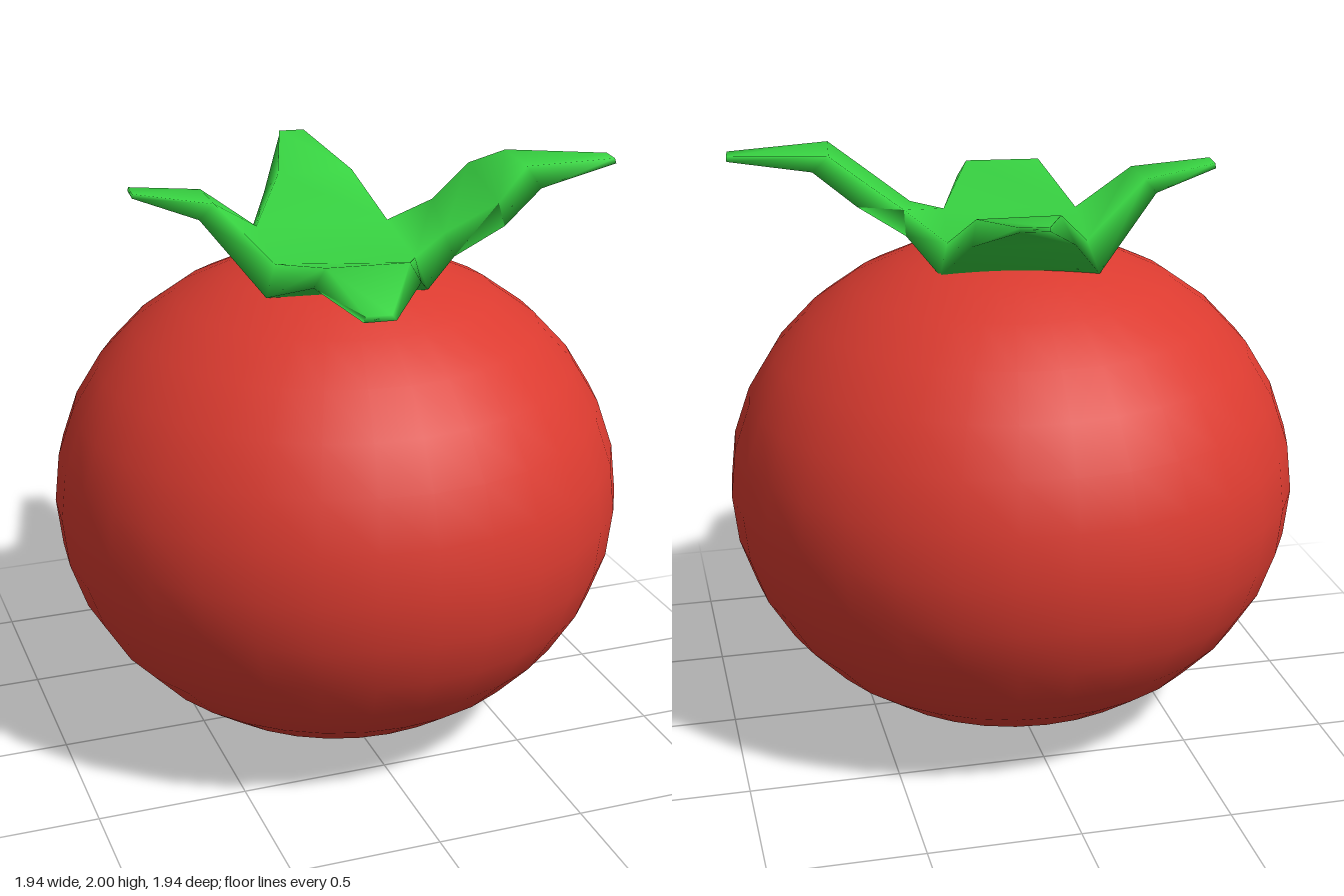
import * as THREE from 'three';

// Each ring of four: top a, top b, bottom b, bottom a (a -> b runs counterclockwise from above)
const CORNERS = [ // [top, bottom] of the central slab
  [[0.17, 1.74, 0.29], [0.2, 1.64, 0.33]],
  [[0.25, 1.74, -0.17], [0.28, 1.64, -0.2]],
  [[-0.2, 1.74, -0.24], [-0.23, 1.64, -0.29]],
  [[-0.28, 1.74, 0.21], [-0.32, 1.64, 0.24]],
];
const LEAVES = [
  [ // left
    [[0.3, 1.79, 0.22], [0.37, 1.83, -0.06], [0.37, 1.75, -0.09], [0.32, 1.72, 0.26]],
    [[0.45, 1.9, 0.31], [0.51, 1.94, -0.08], [0.53, 1.86, -0.11], [0.46, 1.83, 0.34]],
    [[0.57, 2, 0.26], [0.6, 2, 0.02], [0.66, 1.96, -0.02], [0.61, 1.93, 0.29]],
    [[0.91, 1.99, 0.22], [0.92, 1.99, 0.14], [0.92, 1.975, 0.13], [0.91, 1.975, 0.23]],
  ],
  [ // back
    [[0.2, 1.87, -0.39], [-0.07, 1.87, -0.4], [-0.1, 1.79, -0.47], [0.22, 1.79, -0.42]],
    [[0.15, 1.935, -0.77], [0.06, 1.935, -0.78], [0.06, 1.92, -0.78], [0.15, 1.92, -0.77]],
  ],
  [ // right
    [[-0.42, 1.91, -0.15], [-0.43, 1.91, 0.05], [-0.49, 1.87, 0.08], [-0.45, 1.87, -0.18]],
    [[-0.67, 1.945, -0.12], [-0.68, 1.945, -0.03], [-0.68, 1.93, -0.03], [-0.67, 1.93, -0.13]],
  ],
  [ // front
    [[-0.24, 1.83, 0.59], [0.02, 1.83, 0.62], [0.05, 1.77, 0.64], [-0.28, 1.77, 0.59]],
    [[-0.19, 1.735, 0.8], [-0.11, 1.735, 0.81], [-0.1, 1.72, 0.82], [-0.2, 1.72, 0.81]],
  ],
];

function calyxGeometry() {
  const positions = [], index = [];
  const add = (p) => positions.push(...p) / 3 - 1;
  const quad = (a, b, c, d) => index.push(a, b, c, a, c, d);

  // Central slab
  const top = CORNERS.map((c) => add(c[0]));
  const bottom = CORNERS.map((c) => add(c[1]));
  quad(...top);
  quad(...[...bottom].reverse());

  // Leaves grow out of the slab's four sides
  LEAVES.forEach((sections, k) => {
    const j = (k + 1) % 4;
    let ring = [top[k], top[j], bottom[j], bottom[k]];
    for (const section of sections) {
      const next = section.map(add);
      for (let i = 0; i < 4; i++) {
        const n = (i + 1) % 4;
        quad(ring[i], next[i], next[n], ring[n]);
      }
      ring = next;
    }
    quad(ring[3], ring[2], ring[1], ring[0]);
  });

  const geometry = new THREE.BufferGeometry();
  geometry.setAttribute('position', new THREE.Float32BufferAttribute(positions, 3));
  geometry.setIndex(index);
  geometry.computeVertexNormals();
  return geometry;
}

export function createModel() {
  const model = new THREE.Group();
  model.name = 'tomato';

  // Slightly squashed fruit
  const fruit = new THREE.Mesh(
    new THREE.SphereGeometry(1, 32, 16).scale(0.97, 0.85, 0.97),
    new THREE.MeshStandardMaterial({ color: 0xdb3b30 }),
  );
  fruit.name = 'fruit';
  fruit.position.y = 0.855;

  // Four-leaf calyx
  const calyx = new THREE.Mesh(calyxGeometry(), new THREE.MeshStandardMaterial({ color: 0x38d442 }));
  calyx.name = 'calyx';

  model.add(fruit, calyx);
  return model;
}
